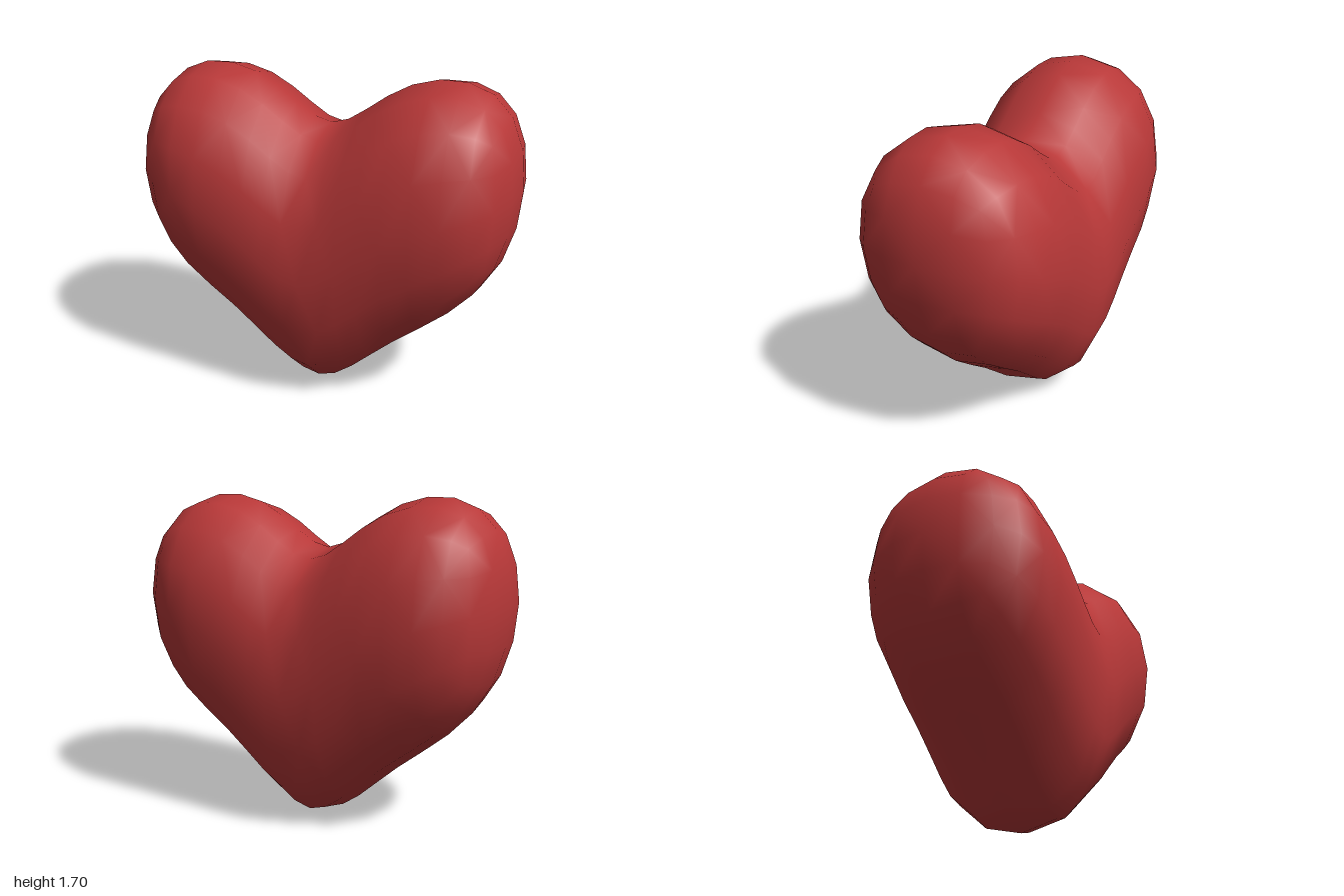
import * as THREE from 'three';

// Visit each corner of each quad: vertex, next, previous, opposite, quad index
function eachCorner(quads, visit) {
  quads.forEach((q, f) => q.forEach((v, k) => visit(v, q[(k + 1) % 4], q[(k + 3) % 4], q[(k + 2) % 4], f)));
}

// One Catmull-Clark subdivision of a closed quad cage
function subdivide({ verts, quads }) {
  const vec = () => new THREE.Vector3();
  const faces = quads.map(q => q.reduce((s, v) => s.add(verts[v]), vec()).multiplyScalar(0.25));
  const around = verts.map(() => ({ n: 0, q: vec(), r: vec() }));
  const edges = new Map();
  const key = (a, b) => Math.min(a, b) + '_' + Math.max(a, b);
  eachCorner(quads, (v, next, prev, opp, f) => {
    const s = around[v];
    s.n++;
    s.q.add(faces[f]);
    s.r.addScaledVector(verts[v], 0.5).addScaledVector(verts[next], 0.5);
    const k = key(v, next);
    if (!edges.has(k)) edges.set(k, { id: edges.size, p: verts[v].clone().add(verts[next]) });
    edges.get(k).p.add(faces[f]);
  });
  const moved = verts.map((v, i) => {
    const { n, q, r } = around[i];
    return v.clone().multiplyScalar((n - 3) / n).addScaledVector(q, 1 / (n * n)).addScaledVector(r, 2 / (n * n));
  });
  const edgePoints = [...edges.values()].map(e => e.p.multiplyScalar(0.25));
  const f0 = verts.length, e0 = f0 + faces.length;
  const out = [];
  eachCorner(quads, (v, next, prev, opp, f) =>
    out.push([v, e0 + edges.get(key(v, next)).id, f0 + f, e0 + edges.get(key(v, prev)).id]));
  return { verts: [...moved, ...faces, ...edgePoints], quads: out };
}

// Settle every vertex onto the smooth limit surface
function toLimit({ verts, quads }) {
  const sums = verts.map(() => ({ n: 0, s: new THREE.Vector3() }));
  eachCorner(quads, (v, next, prev, opp) => {
    sums[v].n++;
    sums[v].s.addScaledVector(verts[next], 2).addScaledVector(verts[prev], 2).add(verts[opp]);
  });
  return {
    quads,
    verts: verts.map((v, i) => {
      const { n, s } = sums[i];
      return v.clone().multiplyScalar(n * n).add(s).divideScalar(n * (n + 5));
    }),
  };
}

// Coarse cage: five rectangular sections across the width, dipped in the middle
function heartCage() {
  const depth = 0.545;
  const half = [[0, 1.347, -0.203], [0.366, 1.821, 0.241], [1.055, 1.76, 0.67]]; // x, top, bottom
  const sections = [...half.slice(1).reverse().map(([x, t, b]) => [-x, t, b]), ...half];
  const verts = sections.flatMap(([x, t, b]) =>
    [[t, depth], [b, depth], [b, -depth], [t, -depth]].map(([y, z]) => new THREE.Vector3(x, y, z)));
  const id = (i, k) => i * 4 + (k % 4);
  const last = sections.length - 1;
  const quads = [[0, 3, 2, 1], [1, 2, 3, 4].map(k => id(last, k))];
  for (let i = 0; i < last; i++)
    for (let k = 0; k < 4; k++)
      quads.push([id(i, k + 1), id(i + 1, k + 1), id(i + 1, k), id(i, k)]);
  return { verts, quads };
}

export function createModel() {
  const { verts, quads } = toLimit(subdivide(subdivide(heartCage())));
  const geometry = new THREE.BufferGeometry().setFromPoints(verts);
  geometry.setIndex(quads.flatMap(([a, b, c, d]) => [a, b, c, a, c, d]));
  geometry.computeVertexNormals();

  const heart = new THREE.Mesh(geometry, new THREE.MeshStandardMaterial({ color: 0xb83838 }));
  heart.name = 'heart';
  const group = new THREE.Group();
  group.name = 'heartModel';
  group.add(heart);
  return group;
}
